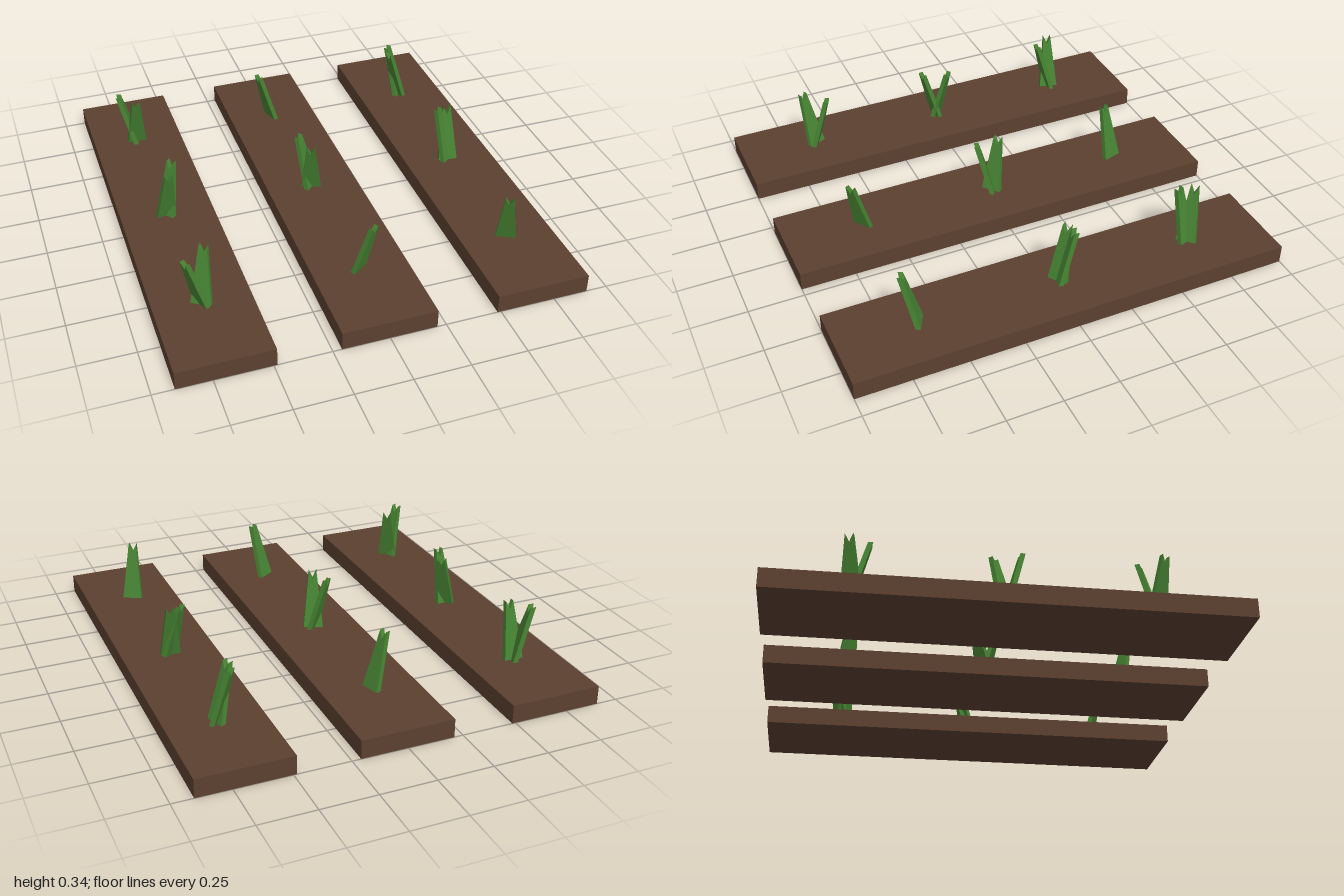
import * as THREE from 'three';

const SOIL_TOP = 0.085, HEIGHT = 0.255, LEAN = 0.07, THICK = 0.022;

// Flat blade, wide at the base, with a notched narrow tip, sheared towards +z
function bladeGeometry() {
  const outline = new THREE.Shape([
    [-0.045, 0], [0.045, 0], [0.018, HEIGHT], [0, HEIGHT - 0.035], [-0.018, HEIGHT],
  ].map(([x, y]) => new THREE.Vector2(x, y)));
  const geo = new THREE.ExtrudeGeometry(outline, { depth: THICK, bevelEnabled: false });
  geo.translate(0, 0, -THICK / 2);
  const p = geo.attributes.position;
  for (let i = 0; i < p.count; i++) p.setZ(i, p.getZ(i) + LEAN * p.getY(i) / HEIGHT);
  geo.computeVertexNormals();
  return geo;
}

export function createModel() {
  const model = new THREE.Group();
  model.name = 'cropBeds';
  const soil = new THREE.MeshStandardMaterial({ color: 0x5c4030 });
  const green = new THREE.MeshStandardMaterial({ color: 0x468232, flatShading: true });
  const bedGeo = new THREE.BoxGeometry(0.42, SOIL_TOP, 2);
  const blade = bladeGeometry();

  // Lean directions of the blades in degrees, from +x towards +z;
  // one entry per bed, each listing its back, middle and front sprout
  const beds = [
    { x: -0.695, sprouts: [[-165, 90], [-42, 82], [155, -58]] },
    { x: 0, sprouts: [[163], [-130, 110], [55]] },
    { x: 0.695, sprouts: [[-135, 160], [-125, -82], [118]] },
  ];

  for (const { x, sprouts } of beds) {
    // Soil strip
    const bed = new THREE.Mesh(bedGeo, soil);
    bed.name = 'soilBed';
    bed.position.set(x, SOIL_TOP / 2, 0);
    model.add(bed);

    // Three sprouts along the strip
    sprouts.forEach((angles, row) => {
      const sprout = new THREE.Group();
      sprout.name = 'sprout';
      sprout.position.set(x - 0.005, SOIL_TOP, (row - 1) * 0.637);
      for (const a of angles) {
        const leaf = new THREE.Mesh(blade, green);
        leaf.name = 'leaf';
        leaf.rotation.y = THREE.MathUtils.degToRad(90 - a);
        sprout.add(leaf);
      }
      model.add(sprout);
    });
  }
  return model;
}
